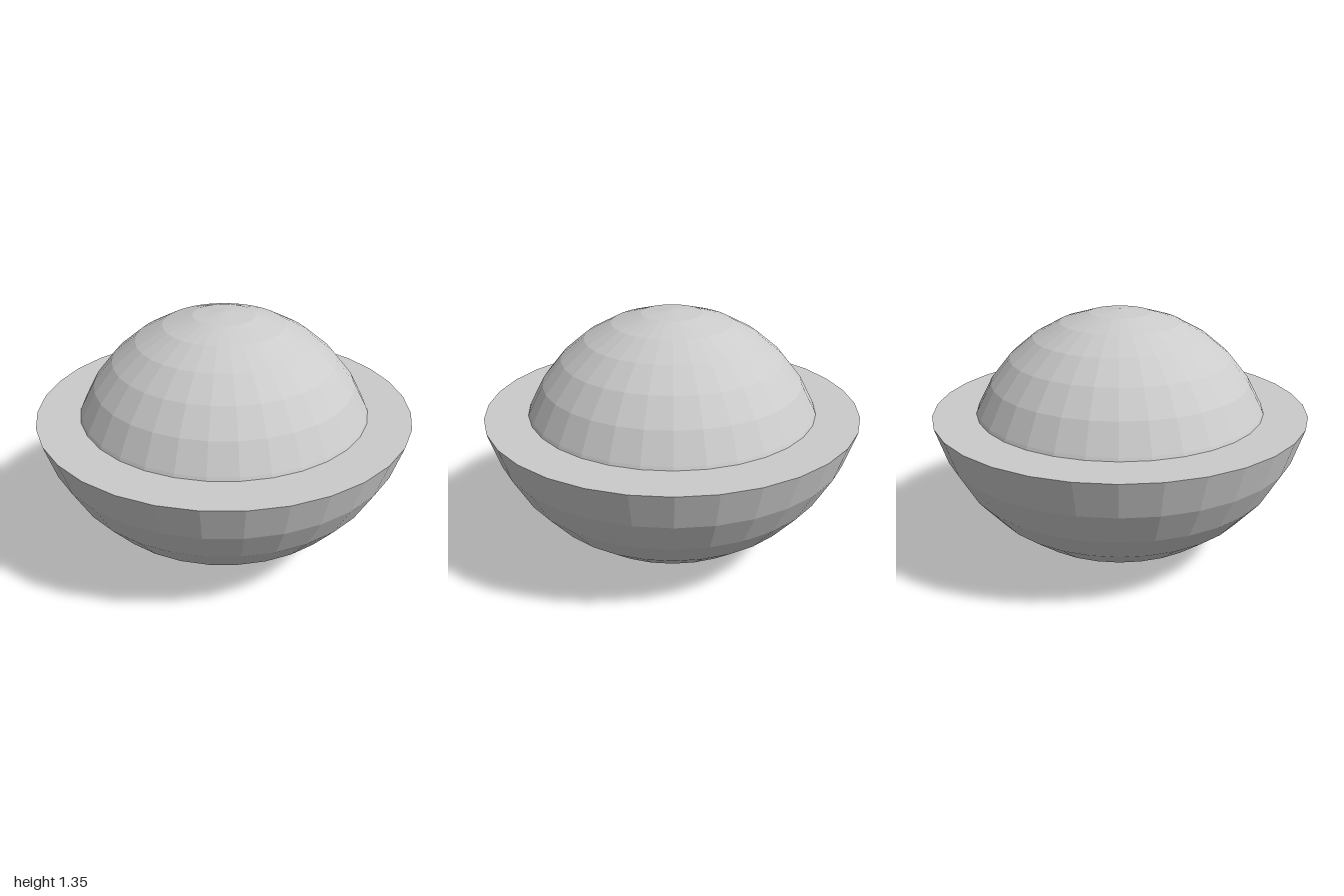
import * as THREE from 'three';

const SEGMENTS = 32;
const STEP = Math.PI / 16; // angle between the rings of both spheres
const RIM_Y = 0.82;

const material = new THREE.MeshStandardMaterial({ color: 0xcccccc, flatShading: true });

// Profile points are ordered from bottom to top so the faces look outward
function lathePart(name, points) {
  const mesh = new THREE.Mesh(new THREE.LatheGeometry(points, SEGMENTS), material);
  mesh.name = name;
  return mesh;
}

export function createModel() {
  const group = new THREE.Group();
  group.name = 'domedBowl';

  // Bowl: lower part of a sphere, closed by a flat top
  const bowlRadius = 1 / Math.sin(7 * STEP);
  const bowl = [];
  for (let i = 0; i <= 7; i++) {
    bowl.push(new THREE.Vector2(bowlRadius * Math.sin(i * STEP), bowlRadius * (1 - Math.cos(i * STEP))));
  }
  const rimY = bowl[7].y;
  bowl.push(new THREE.Vector2(0, rimY));
  group.add(lathePart('bowl', bowl));

  // Dome: upper part of a smaller sphere, cut off at the bowl's flat top
  const domeRadius = 0.828;
  const domeTop = 1.348;
  const dome = [new THREE.Vector2(0.772, RIM_Y)];
  for (let i = 6; i >= 0; i--) {
    dome.push(new THREE.Vector2(domeRadius * Math.sin(i * STEP), domeTop - domeRadius * (1 - Math.cos(i * STEP))));
  }
  group.add(lathePart('dome', dome));

  return group;
}
